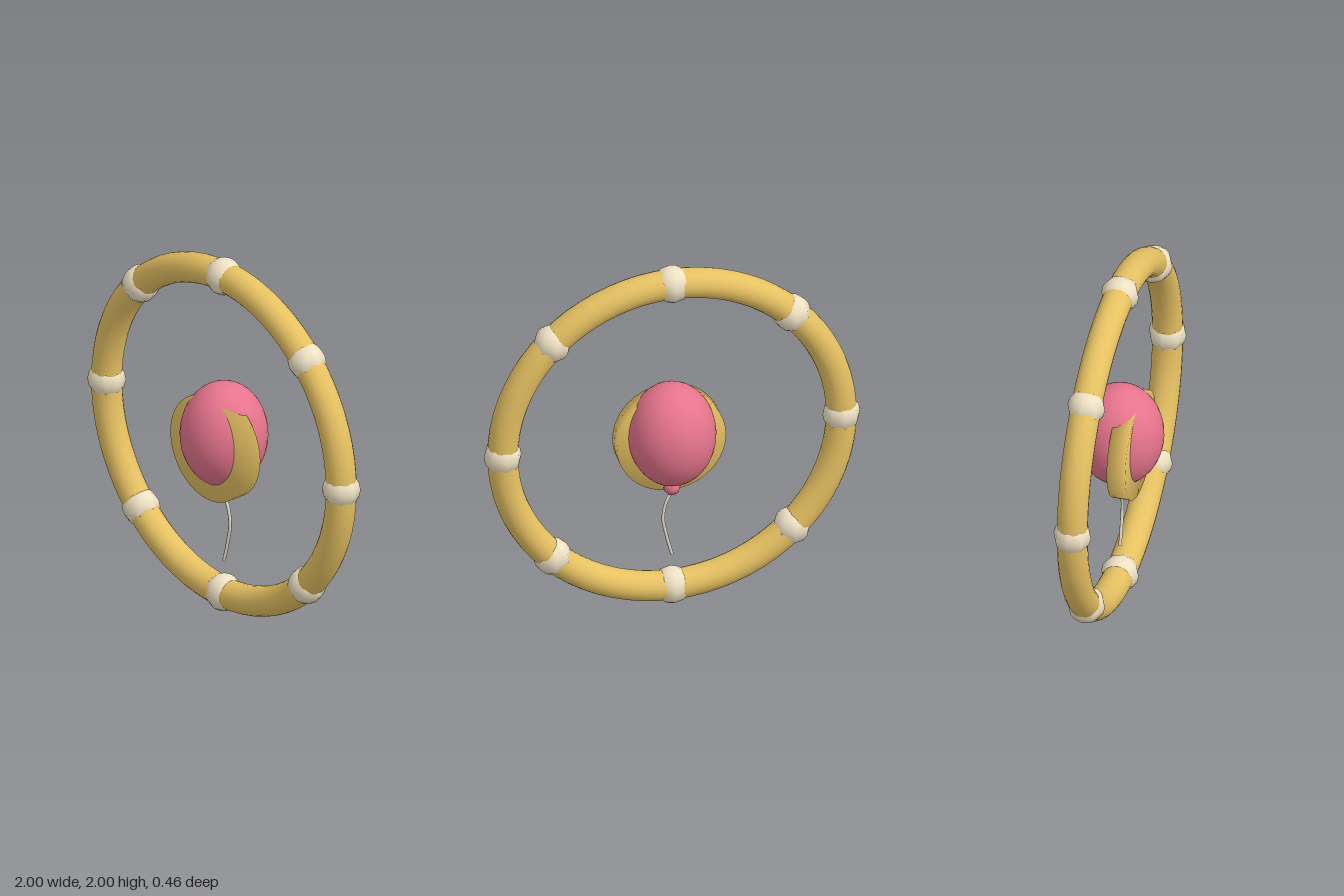
import * as THREE from 'three';
import { mergeVertices } from 'three/addons/utils/BufferGeometryUtils.js';

const material = (color) => new THREE.MeshStandardMaterial({ color });

export function createModel() {
  const model = new THREE.Group();
  model.name = 'balloonHoop';

  const gold = material(0xe6c162);
  const cream = material(0xeee1c4);
  const pink = material(0xe6748c);
  const thread = material(0xe8e0d0);

  const add = (name, geometry, mat, x = 0, y = 0, z = 0) => {
    const mesh = new THREE.Mesh(geometry, mat);
    mesh.name = name;
    mesh.position.set(x, y, z);
    model.add(mesh);
    return mesh;
  };

  // Outer hoop
  const centreY = 1;
  const hoopRadius = 0.9;
  add('hoop', new THREE.TorusGeometry(hoopRadius, 0.08, 20, 72), gold, 0, centreY);

  // Eight coarse beads spaced around the hoop
  const beadGeometry = new THREE.SphereGeometry(0.1, 8, 8);
  for (let i = 0; i < 8; i++) {
    const a = (i / 8) * Math.PI * 2;
    add('bead', beadGeometry, cream,
      Math.cos(a) * hoopRadius, centreY + Math.sin(a) * hoopRadius);
  }

  // Thick disc around the balloon, with soft normals shared by rim and faces
  let disc = new THREE.CylinderGeometry(0.29, 0.29, 0.1, 40);
  disc.deleteAttribute('normal');
  disc.deleteAttribute('uv');
  disc = mergeVertices(disc);
  disc.computeVertexNormals();
  disc.rotateX(Math.PI / 2);
  add('disc', disc, gold, 0, 0.95, 0.06);

  // Egg-shaped balloon and its knot
  const balloon = add('balloon', new THREE.SphereGeometry(0.229, 32, 24), pink, 0, 1.003);
  balloon.scale.y = 1.25;
  add('knot', new THREE.SphereGeometry(0.045, 8, 6), pink, 0, 0.685);

  // Hanging string
  const path = new THREE.CatmullRomCurve3([
    [0, 0.66], [0.033, 0.59], [0.047, 0.5], [0.03, 0.4], [0, 0.28],
  ].map(([x, y]) => new THREE.Vector3(x, y, 0)));
  thread.side = THREE.DoubleSide;
  add('string', new THREE.TubeGeometry(path, 24, 0.009, 8), thread);

  return model;
}
